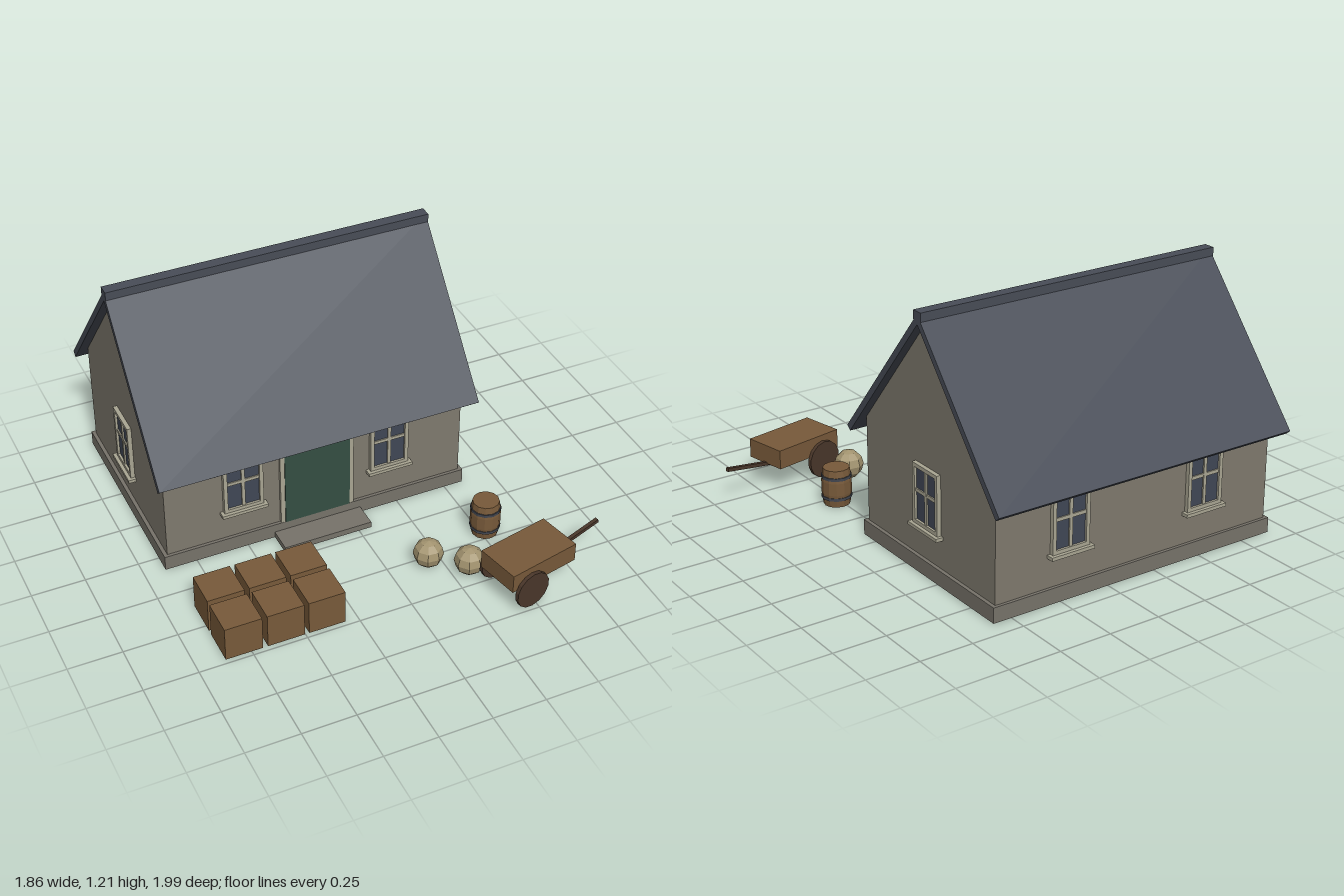
import * as THREE from 'three';

const mat = (name, color) => {
  const m = new THREE.MeshStandardMaterial({ color, flatShading: true });
  m.name = name;
  return m;
};

export function createModel() {
  const wall = mat('wall plaster', 0x7f7a6e);
  const stone = mat('plinth stone', 0x77736a);
  const slate = mat('roof slate', 0x484d57);
  const trim = mat('window trim', 0xaaa693);
  const glass = mat('window glass', 0x404755);
  const green = mat('door green', 0x344e42);
  const wood = mat('wood', 0x785a3a);
  const darkWood = mat('dark wood', 0x4a372a);
  const burlap = mat('sack cloth', 0xa39470);
  const iron = mat('hoop iron', 0x42464f);

  const add = (parent, name, geometry, material, x = 0, y = 0, z = 0) => {
    const m = new THREE.Mesh(geometry, material);
    m.name = name;
    m.position.set(x, y, z);
    parent.add(m);
    return m;
  };
  const box = (parent, name, material, w, h, d, x, y, z) =>
    add(parent, name, new THREE.BoxGeometry(w, h, d), material, x, y, z);
  const group = (parent, name, x = 0, y = 0, z = 0, ry = 0) => {
    const g = new THREE.Group();
    g.name = name;
    g.position.set(x, y, z);
    g.rotation.y = ry;
    parent.add(g);
    return g;
  };
  // Gable profile (across the house, height) drawn out along x
  const prism = (points, length) => {
    const shape = new THREE.Shape(points.map(([u, v]) => new THREE.Vector2(u, v)));
    return new THREE.ExtrudeGeometry(shape, { depth: length, bevelEnabled: false })
      .translate(0, 0, -length / 2).rotateY(Math.PI / 2);
  };

  const model = new THREE.Group();
  model.name = 'cottage';

  // House, centred on its own ridge
  const house = group(model, 'house', -0.155, 0, -0.415);
  box(house, 'plinth', stone, 1.495, 0.072, 1.01, 0, 0.036, 0);
  add(house, 'walls', prism([[-0.49, 0.05], [0.49, 0.05], [0.49, 0.575], [0, 1.15], [-0.49, 0.575]], 1.46), wall);
  add(house, 'roof', prism([
    [-0.58, 0.51], [-0.557, 0.49], [0, 1.148], [0.557, 0.49], [0.58, 0.51], [0, 1.193],
  ], 1.55), slate);
  box(house, 'ridgeCap', slate, 1.55, 0.04, 0.055, 0, 1.185, 0);

  // Window facing local +z, its back on the wall
  const addWindow = (x, z, ry) => {
    const g = group(house, 'window', x, 0.365, z, ry);
    box(g, 'glass', glass, 0.17, 0.26, 0.009, 0, 0, 0.0045);
    for (const s of [-1, 1]) {
      box(g, 'frameSide', trim, 0.018, 0.28, 0.02, s * 0.086, 0, 0.01);
      box(g, 'frameRail', trim, 0.154, 0.018, 0.02, 0, s * 0.131, 0.01);
    }
    box(g, 'mullion', trim, 0.016, 0.25, 0.016, 0, 0, 0.008);
    box(g, 'transom', trim, 0.156, 0.016, 0.015, 0, 0.015, 0.0075);
    box(g, 'sill', trim, 0.22, 0.016, 0.036, 0, -0.147, 0.018);
  };
  for (const x of [-0.36, 0.36]) {
    addWindow(x, 0.49, 0);
    addWindow(x, -0.49, Math.PI);
  }
  addWindow(0.73, 0, Math.PI / 2);
  addWindow(-0.73, 0, -Math.PI / 2);

  // Door with posts, lintel and step
  const door = group(house, 'door', 0, 0, 0.49);
  box(door, 'doorPanel', green, 0.32, 0.46, 0.018, 0, 0.302, 0.009);
  for (const s of [-1, 1]) box(door, 'doorPost', trim, 0.022, 0.46, 0.014, s * 0.17, 0.302, 0.007);
  box(door, 'lintel', trim, 0.362, 0.022, 0.014, 0, 0.543, 0.007);
  box(door, 'step', stone, 0.43, 0.03, 0.125, 0, 0.015, 0.073);

  // Two rows of three crates
  for (const x of [-0.785, -0.59, -0.397])
    for (const z of [0.45, 0.645])
      box(model, 'crate', wood, 0.172, 0.17, 0.17, x, 0.085, z);

  // Barrel with two hoops
  const barrel = group(model, 'barrel', 0.522, 0, 0.448);
  const profile = [[0, 0], [0.062, 0], [0.07, 0.06], [0.07, 0.12], [0.062, 0.18], [0, 0.18]];
  add(barrel, 'staves', new THREE.LatheGeometry(profile.map(([r, y]) => new THREE.Vector2(r, y)), 12), wood);
  for (const y of [0.04, 0.14])
    add(barrel, 'hoop', new THREE.CylinderGeometry(0.071, 0.071, 0.014, 12), iron, 0, y, 0);

  // Sacks
  for (const [x, z] of [[0.183, 0.545], [0.327, 0.665]])
    add(model, 'sack', new THREE.SphereGeometry(0.07, 8, 6), burlap, x, 0.067, z).rotation.y = 0.3;

  // Handcart, turned slightly toward the house
  const cart = group(model, 'handcart', 0.524, 0, 0.838, 0.21);
  box(cart, 'cartBed', wood, 0.36, 0.092, 0.215, 0, 0.16, 0);
  for (const s of [-1, 1])
    add(cart, 'wheel', new THREE.CylinderGeometry(0.09, 0.09, 0.018, 14).rotateX(Math.PI / 2),
      darkWood, -0.078, 0.09, s * 0.12);
  box(cart, 'handle', darkWood, 0.27, 0.017, 0.018, 0.277, 0.13, 0).rotation.z = 0.18;

  return model;
}
